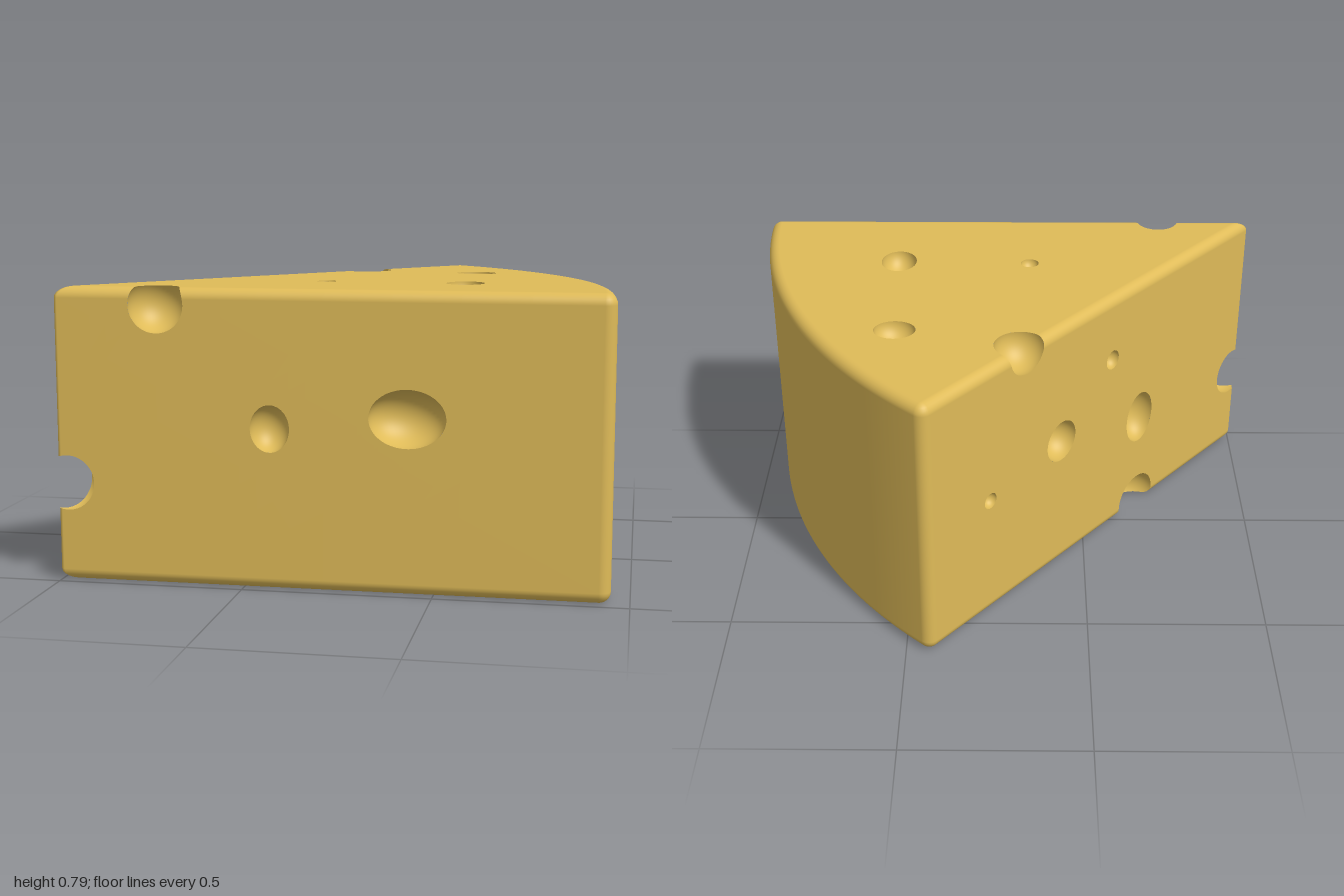
import * as THREE from 'three';

const V = (x, y, z) => new THREE.Vector3(x, y, z);
const H = 0.785, R = 1.465, BEVEL = 0.03, TIP_ROUND = 0.01;
const ANGLE = 0.8675;                          // opening angle of the wedge
const TIP = V(-1.013, 0, 0.985);               // sharp apex of the wedge
const dir = (a) => V(Math.cos(a), 0, -Math.sin(a));
const polar = (radius, a) => TIP.clone().addScaledVector(dir(a), radius);
const onCut = (s, y) => polar(s, ANGLE).setY(y).toArray(); // point on the slanted cut

// Bites: name, centre, radii
const BITES = [
  ['frontHole', [-0.425, 0.425, 0.985], [0.052, 0.062, 0.055]],
  ['frontHole', [-0.067, 0.46, 0.985], [0.1, 0.076, 0.08]],
  ['frontEdgeBite', [-0.725, 0.74, 0.972], [0.075, 0.075, 0.075]],
  ['tipBite', [-0.975, 0.265, 0.965], [0.076, 0.076, 0.076]],
  ['topHole', [0.03, H, 0.275], [0.057, 0.05, 0.049]],
  ['topHole', [0.045, H, 0.69], [0.051, 0.055, 0.064]],
  ['topHole', [-0.335, H, 0.68], [0.026, 0.026, 0.026]],
  ['cutEdgeBite', [-0.31, 0.775, 0.195], [0.073, 0.073, 0.073]],
  ['cutHole', onCut(0.907, 0.42), [0.062, 0.063, 0.062]],
  ['cutHole', onCut(0.535, 0.325), [0.062, 0.083, 0.062]],
  ['cutHole', onCut(0.68, 0.585), [0.028, 0.03, 0.028]],
  ['cutHole', onCut(1.21, 0.375), [0.024, 0.024, 0.024]],
  ['bottomEdgeBite', onCut(0.535, 0.03), [0.082, 0.08, 0.082]],
  ['bottomHole', [0.004, 0, 0.72], [0.065, 0.06, 0.067]],
].map(([name, c, r]) => ({ name, c: V(...c), r: V(...r), max: Math.max(...r) }));

// Positive outside a bite
const outsideBite = (b) => (p) => (p.clone().sub(b.c).divide(b.r).length() - 1) * b.max;

// Positive inside the bevelled wedge
function insideWedge(p) {
  const dx = p.x - TIP.x, dz = p.z - TIP.z;
  const side = Math.min(-dz, dx * Math.sin(ANGLE) + dz * Math.cos(ANGLE), R - Math.hypot(dx, dz), p.x + 1);
  const cap = Math.min(p.y, H - p.y);
  return side < BEVEL && cap < BEVEL ? BEVEL - Math.hypot(BEVEL - side, BEVEL - cap) : Math.min(side, cap);
}

const mix = (a, b, t) => ({ p: a.p.clone().lerp(b.p, t), n: a.n.clone().lerp(b.n, t).normalize() });

// Keep the part of each triangle where f is positive
function clip(tris, f) {
  const out = [];
  for (const tri of tris) {
    const d = tri.map((v) => f(v.p)), poly = [];
    for (let i = 0; i < 3; i++) {
      const j = (i + 1) % 3;
      if (d[i] >= 0) poly.push(tri[i]);
      if (d[i] >= 0 !== d[j] >= 0) poly.push(mix(tri[i], tri[j], d[i] / (d[i] - d[j])));
    }
    for (let k = 2; k < poly.length; k++) out.push([poly[0], poly[k - 1], poly[k]]);
  }
  return out;
}

// Halve long triangles near a bite until they are fine enough to cut cleanly
function refine(tri, out) {
  const len = tri.map((v, i) => v.p.distanceTo(tri[(i + 1) % 3].p));
  const longest = Math.max(...len), i = len.indexOf(longest);
  const mid = tri[0].p.clone().add(tri[1].p).add(tri[2].p).divideScalar(3);
  if (longest < 0.016 || !BITES.some((b) => mid.distanceTo(b.c) < b.max + longest)) return out.push(tri);
  const a = tri[i], b = tri[(i + 1) % 3], c = tri[(i + 2) % 3], m = mix(a, b, 0.5);
  refine([a, m, c], out);
  refine([m, b, c], out);
}

// Geometry from triangles, each wound to agree with its normals
function toGeometry(tris) {
  const pos = [], nor = [];
  for (const [a, b, c] of tris) {
    const face = b.p.clone().sub(a.p).cross(c.p.clone().sub(a.p));
    const flip = face.dot(a.n.clone().add(b.n).add(c.n)) < 0;
    for (const v of flip ? [a, c, b] : [a, b, c]) {
      pos.push(...v.p.toArray());
      nor.push(...v.n.toArray());
    }
  }
  const g = new THREE.BufferGeometry();
  g.setAttribute('position', new THREE.Float32BufferAttribute(pos, 3));
  g.setAttribute('normal', new THREE.Float32BufferAttribute(nor, 3));
  return g;
}

// Wedge outline: cap point, wall point and outward normal around the edge
function outline() {
  const pts = [], a0 = Math.asin(BEVEL / (R - BEVEL)), a1 = ANGLE - a0;
  const corner = (core, centre, radius, from, to, steps) => {
    for (let i = 0; i <= steps; i++) {
      const n = dir(from + (to - from) * i / steps);
      pts.push({ core, wall: centre.clone().addScaledVector(n, radius), n });
    }
  };
  const right = polar(R - BEVEL, a0), back = polar(R - BEVEL, a1), half = ANGLE / 2;
  corner(right, right, BEVEL, -Math.PI / 2, a0, 8);
  for (let i = 1; i < 48; i++) {
    const a = a0 + (a1 - a0) * i / 48;
    pts.push({ core: polar(R - BEVEL, a), wall: polar(R, a), n: dir(a) });
  }
  corner(back, back, BEVEL, a1, ANGLE + Math.PI / 2, 8);
  corner(polar(BEVEL / Math.sin(half), half), polar(TIP_ROUND / Math.sin(half), half), TIP_ROUND,
    ANGLE + Math.PI / 2, 1.5 * Math.PI, 10);
  return pts;
}

function wedgeTriangles() {
  const pts = outline(), rows = [], tris = [], STEPS = 6;
  // Bevelled wall, from bottom to top
  for (const s of [-1, 1]) {
    for (let i = 0; i <= STEPS; i++) {
      const a = (s < 0 ? i - STEPS : i) / STEPS * Math.PI / 2;
      const y = (s < 0 ? BEVEL : H - BEVEL) + BEVEL * Math.sin(a);
      rows.push(pts.map((o) => ({
        p: o.core.clone().lerp(o.wall, Math.cos(a)).setY(y),
        n: o.n.clone().multiplyScalar(Math.cos(a)).setY(Math.sin(a)),
      })));
    }
  }
  for (let r = 1; r < rows.length; r++) {
    pts.forEach((_, i) => {
      const j = (i + 1) % pts.length, lo = rows[r - 1], hi = rows[r];
      tris.push([lo[i], lo[j], hi[j]], [lo[i], hi[j], hi[i]]);
    });
  }
  // Flat top and bottom
  const core = pts.map((o) => o.core).filter((c, i, all) => c !== all[(i + 1) % all.length]);
  const faces = THREE.ShapeUtils.triangulateShape(core.map((c) => new THREE.Vector2(c.x, -c.z)), []);
  for (const [y, up] of [[0, -1], [H, 1]]) {
    for (const f of faces) tris.push(f.map((k) => ({ p: core[k].clone().setY(y), n: V(0, up, 0) })));
  }
  return tris.filter(([a, b, c]) => b.p.clone().sub(a.p).cross(c.p.clone().sub(a.p)).length() > 1e-9);
}

// Hollow bowl left by a bite
function bowlTriangles(b) {
  const g = new THREE.SphereGeometry(1, 48, 32).toNonIndexed(), at = g.attributes.position, tris = [];
  const vertex = (i) => {
    const u = V(0, 0, 0).fromBufferAttribute(at, i);
    return { p: u.clone().multiply(b.r).add(b.c), n: u.clone().divide(b.r).normalize().negate() };
  };
  for (let i = 0; i < at.count; i += 3) tris.push([vertex(i), vertex(i + 1), vertex(i + 2)]);
  return clip(tris, insideWedge);
}

export function createModel() {
  const model = new THREE.Group();
  model.name = 'cheeseWedge';
  const cheese = new THREE.MeshStandardMaterial({ color: 0xdfbb58 });
  cheese.name = 'cheese yellow';
  const add = (name, tris) => {
    const mesh = new THREE.Mesh(toGeometry(tris), cheese);
    mesh.name = name;
    model.add(mesh);
  };

  let body = [];
  for (const tri of wedgeTriangles()) refine(tri, body);
  for (const b of BITES) body = clip(body, outsideBite(b));
  add('wedgeBody', body);
  for (const b of BITES) add(b.name, bowlTriangles(b));
  return model;
}
